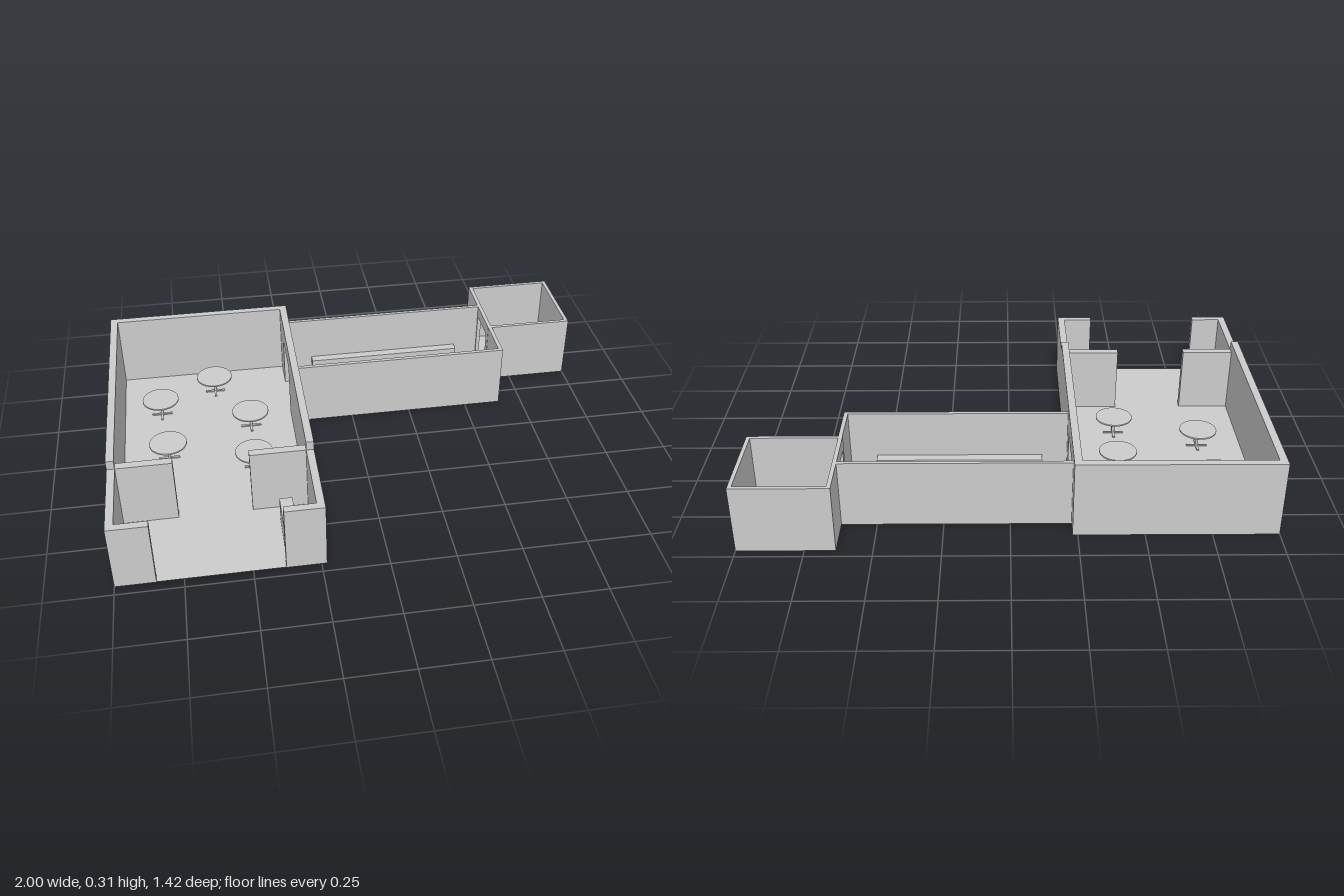
import * as THREE from 'three';

const grey = new THREE.MeshStandardMaterial({ color: 0xcccccc, flatShading: true });
const thin = new THREE.MeshStandardMaterial({ color: 0xcccccc, side: THREE.DoubleSide });

export function createModel() {
  const model = new THREE.Group();

  // Box given by its x, y and z ranges
  function box(name, x0, x1, z0, z1, y1, y0 = 0, parent = model) {
    const mesh = new THREE.Mesh(new THREE.BoxGeometry(x1 - x0, y1 - y0, z1 - z0), grey);
    mesh.position.set((x0 + x1) / 2, (y0 + y1) / 2, (z0 + z1) / 2);
    mesh.name = name;
    parent.add(mesh);
    return mesh;
  }

  // Thin floor sheet just above the ground
  function floor(name, x0, x1, z0, z1) {
    const mesh = new THREE.Mesh(new THREE.PlaneGeometry(x1 - x0, z1 - z0).rotateX(-Math.PI / 2), thin);
    mesh.position.set((x0 + x1) / 2, 0.002, (z0 + z1) / 2);
    mesh.name = name;
    model.add(mesh);
  }

  // Wall running along z with a doorway cut out of it
  function doorWall(name, x0, x1, z0, z1, height, door0, door1, doorTop) {
    const s = new THREE.Shape();
    [[z0, 0], [door0, 0], [door0, doorTop], [door1, doorTop], [door1, 0], [z1, 0], [z1, height], [z0, height]]
      .forEach(([z, y], i) => (i ? s.lineTo(-z, y) : s.moveTo(-z, y)));
    const geo = new THREE.ExtrudeGeometry(s, { depth: x1 - x0, bevelEnabled: false });
    const mesh = new THREE.Mesh(geo.rotateY(Math.PI / 2), grey);
    mesh.position.x = x0;
    mesh.name = name;
    model.add(mesh);
  }

  // Round table on a stem with a cross foot
  function roundTable(x, z) {
    const table = new THREE.Group();
    table.name = 'roundTable';
    const top = new THREE.Mesh(new THREE.CylinderGeometry(0.076, 0.076, 0.006, 40), thin);
    top.position.y = 0.08;
    top.name = 'tableTop';
    const stem = new THREE.Mesh(new THREE.CylinderGeometry(0.006, 0.006, 0.076, 16), thin);
    stem.position.y = 0.04;
    stem.name = 'tableStem';
    table.add(top, stem);
    box('tableFoot', -0.042, 0.042, -0.005, 0.005, 0.008, 0.003, table);
    box('tableFoot', -0.005, 0.005, -0.042, 0.042, 0.008, 0.003, table);
    table.position.set(x, 0, z);
    model.add(table);
  }

  const tall = 0.307, low = 0.27;

  // Main hall
  floor('hallFloor', -0.97, -0.23, -0.595, 0.71);
  box('hallBackWall', -1, -0.23, -0.625, -0.595, tall);
  box('hallRightWall', -1, -0.97, -0.595, 0.375, tall);
  doorWall('hallLeftWall', -0.26, -0.23, -0.595, 0.375, tall, -0.47, -0.26, 0.22);

  // Entrance area with lower walls
  box('entranceRightWall', -1, -0.97, 0.375, 0.71, low);
  box('entranceLeftWall', -0.26, -0.23, 0.375, 0.71, low);
  box('frontWallRight', -0.97, -0.85, 0.68, 0.71, low);
  box('frontWallLeft', -0.38, -0.26, 0.68, 0.71, low);
  box('partitionRight', -0.97, -0.76, 0.342, 0.375, low);
  box('partitionLeft', -0.475, -0.26, 0.342, 0.375, low);
  box('entranceCounter', -0.375, -0.325, 0.44, 0.6, 0.1);

  // Corridor
  floor('corridorFloor', -0.23, 0.65, -0.537, -0.188);
  box('corridorBackWall', -0.23, 0.635, -0.552, -0.537, low);
  box('corridorFrontWall', -0.23, 0.652, -0.188, -0.172, low);
  box('corridorEndWall', 0.636, 0.652, -0.355, -0.188, low);
  box('corridorTable', -0.053, 0.373, -0.412, -0.317, 0.08);
  box('backBench', -0.13, 0.53, -0.537, -0.5, 0.08);
  box('frontBench', -0.13, 0.53, -0.228, -0.188, 0.08);

  // Small end room
  floor('endRoomFloor', 0.635, 0.985, -0.7, -0.37);
  box('endRoomBackWall', 0.635, 1, -0.715, -0.7, low);
  box('endRoomFrontWall', 0.635, 1, -0.37, -0.355, low);
  box('endRoomLeftWall', 0.985, 1, -0.7, -0.37, low);
  doorWall('endRoomRightWall', 0.635, 0.651, -0.7, -0.37, low, -0.53, -0.385, 0.22);

  // Tables
  [[-0.575, -0.445], [-0.812, -0.307], [-0.438, -0.165], [-0.787, 0.003], [-0.445, 0.112], [0.828, -0.565]]
    .forEach(([x, z]) => roundTable(x, z));

  return model;
}
